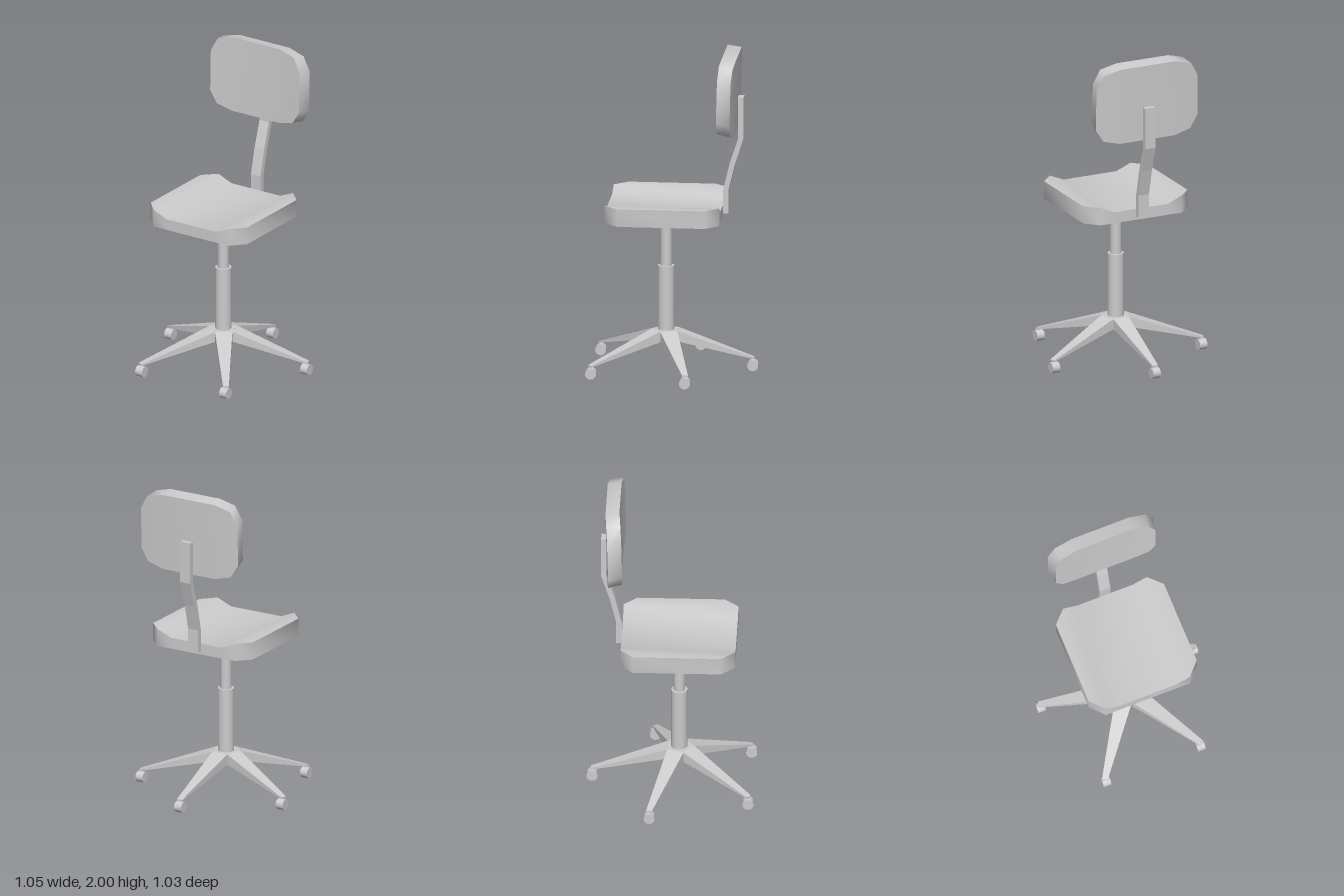
import * as THREE from 'three';
import { toCreasedNormals } from 'three/addons/utils/BufferGeometryUtils.js';

const grey = new THREE.MeshStandardMaterial({ color: 0xcccccc });
const CENTRE_Z = 0.055; // axis of column and base

function add(parent, name, geometry, x = 0, y = 0, z = 0) {
  const mesh = new THREE.Mesh(geometry, grey);
  mesh.name = name;
  mesh.position.set(x, y, z);
  parent.add(mesh);
  return mesh;
}

// Counter-clockwise outline from half columns [x, low, high], mirrored in x
function outline(half) {
  const columns = [...half.map(([x, a, b]) => [-x, a, b]).reverse(), ...half];
  const low = columns.map(([x, a]) => [x, a]);
  const high = columns.map(([x, , b]) => [x, b]).reverse();
  return [...low, ...high];
}

// Cushion between two matching loops of points; the back is a fan if an apex is given
function cushion(front, back, apex) {
  const n = front.length;
  const points = [...front, ...back];
  const index = [];
  const quad = (a, b, c, d) => index.push(a, b, c, a, c, d);
  for (let i = 0; i < n; i++) {
    const j = (i + 1) % n;
    quad(i, n + i, n + j, j);
    if (apex) index.push(2 * n, n + j, n + i);
  }
  for (let i = 0; i < n / 2 - 1; i++) {
    quad(i, i + 1, n - 2 - i, n - 1 - i);
    if (!apex) quad(n + i, 2 * n - 1 - i, 2 * n - 2 - i, n + i + 1);
  }
  if (apex) points.push(apex);
  const geometry = new THREE.BufferGeometry();
  geometry.setAttribute('position', new THREE.Float32BufferAttribute(points.flat(), 3));
  geometry.setIndex(index);
  return toCreasedNormals(geometry, 0.9);
}

// Seat: raised side edges, cut corners, slightly bulging underside
function seatGeometry() {
  const loop = outline([[0.18, -0.405, 0.295], [0.275, -0.405, 0.295], [0.355, -0.32, 0.215]]);
  const top = loop.map(([x, v]) => [x, Math.abs(x) < 0.2 ? 1.04 : 1.08, -v]);
  const bottom = loop.map(([x, v]) => [x, 0.97, -v]);
  return cushion(top, bottom, [0, 0.955, CENTRE_Z]);
}

// Backrest: gently dished, leaning back, wider behind
function backrestGeometry() {
  const loop = outline([[0.175, 1.52, 2.0], [0.28, 1.548, 1.972], [0.327, 1.625, 1.885]]);
  const bend = (x, y) => 0.018 * (x / 0.327) ** 2 - 0.025 * (y - 1.76);
  const front = loop.map(([x, y]) => [x, y, -0.303 + bend(x, y)]);
  const back = loop.map(([x, y]) => [x * 1.055, y - 0.015, -0.388 + bend(x, y)]);
  return cushion(front, back);
}

// Bent flat bar that carries the backrest
function barGeometry() {
  const path = [[0.295, 0.99], [0.295, 1.135], [0.335, 1.3], [0.387, 1.46], [0.387, 1.72]];
  const rear = path.map(([z, y]) => [z + 0.034, y]).reverse();
  const shape = new THREE.Shape([...path, ...rear].map(([z, y]) => new THREE.Vector2(z, y)));
  const geometry = new THREE.ExtrudeGeometry(shape, { depth: 0.07, bevelEnabled: false });
  return geometry.translate(0, 0, -0.035).rotateY(Math.PI / 2);
}

// Tapered leg pointing along +z, from the hub down to a thin tip
function legGeometry() {
  const geometry = new THREE.BoxGeometry(1, 1, 1).toNonIndexed();
  const p = geometry.attributes.position;
  for (let i = 0; i < p.count; i++) {
    const tip = p.getZ(i) > 0;
    const upper = p.getY(i) > 0;
    const x = Math.sign(p.getX(i)) * (tip ? 0.018 : 0.053);
    const y = tip ? (upper ? 0.086 : 0.076) : (upper ? 0.25 : 0.185);
    p.setXYZ(i, x, y, tip ? 0.54 : 0.073);
  }
  geometry.computeVertexNormals();
  return geometry;
}

export function createModel() {
  const chair = new THREE.Group();
  chair.name = 'swivelChair';

  add(chair, 'seat', seatGeometry());
  add(chair, 'backrest', backrestGeometry());
  add(chair, 'backrestBar', barGeometry());

  // Telescopic column
  add(chair, 'columnSleeve', new THREE.CylinderGeometry(0.05, 0.05, 0.4, 20), 0, 0.45, CENTRE_Z);
  add(chair, 'columnRod', new THREE.CylinderGeometry(0.035, 0.035, 0.32, 20), 0, 0.8, CENTRE_Z);

  // Five-legged base with casters
  const base = new THREE.Group();
  base.name = 'base';
  base.position.z = CENTRE_Z;
  chair.add(base);
  const hub = new THREE.CylinderGeometry(0.09, 0.09, 0.065, 5).toNonIndexed();
  hub.computeVertexNormals();
  add(base, 'hub', hub, 0, 0.2175, 0);

  const leg = legGeometry();
  const caster = new THREE.CylinderGeometry(0.034, 0.034, 0.05, 20).rotateZ(Math.PI / 2);
  for (let i = 0; i < 5; i++) {
    const angle = Math.PI + (i * Math.PI * 2) / 5;
    add(base, 'leg', leg).rotation.y = angle;
    add(base, 'caster', caster, 0.527 * Math.sin(angle), 0.036, 0.532 * Math.cos(angle));
  }
  return chair;
}
